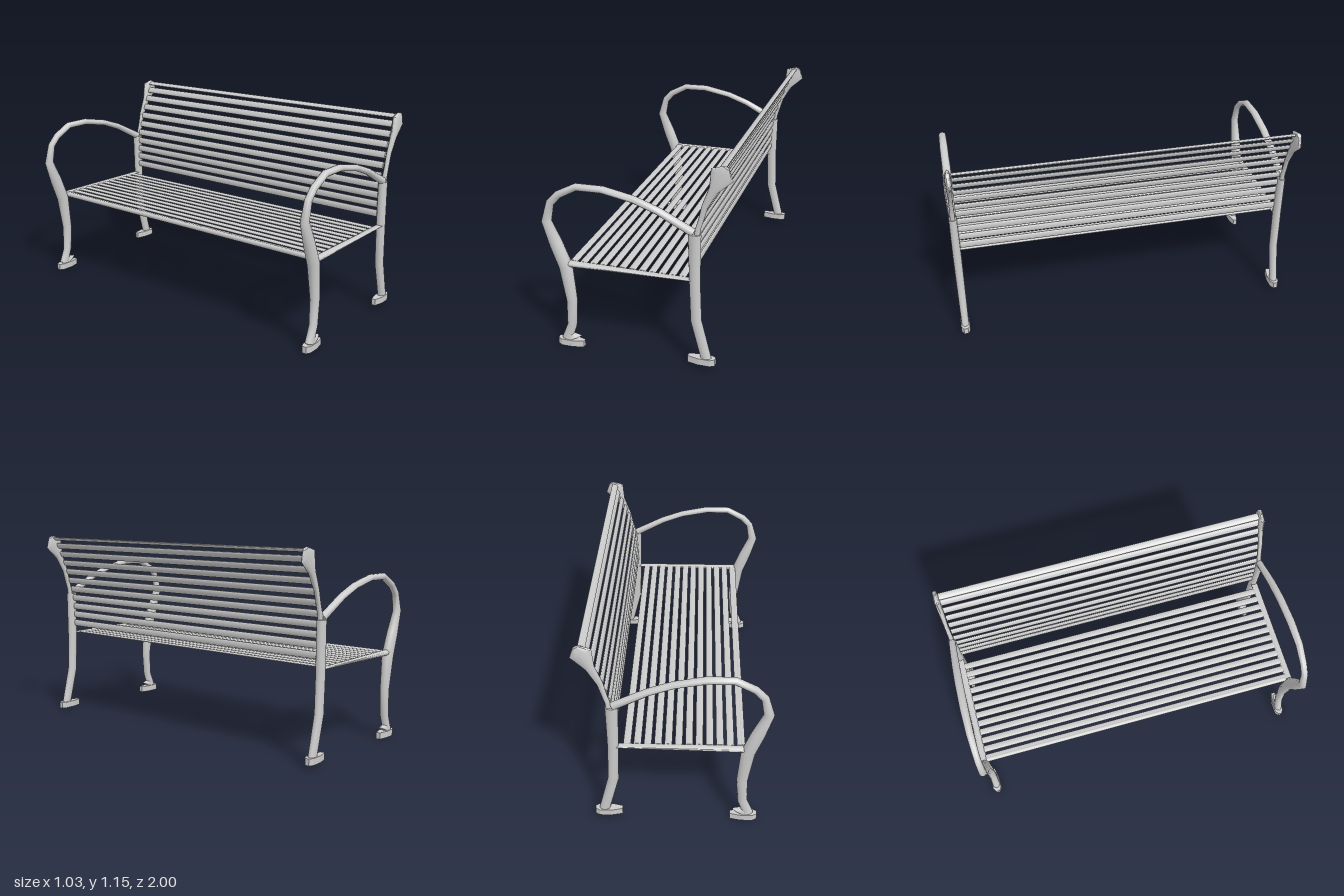
import * as THREE from 'three';
import { toCreasedNormals } from 'three/addons/utils/BufferGeometryUtils.js';

const material = new THREE.MeshStandardMaterial({ color: 0xcccccc });
const SIDE_Z = 0.967;

function addMesh(parent, name, geometry) {
  const mesh = new THREE.Mesh(geometry, material);
  mesh.name = name;
  parent.add(mesh);
  return mesh;
}

// Bar along a path in the xy plane; each station is [x, y, half width, half depth]
function bar(stations, sides = 12) {
  const positions = [];
  const indices = [];
  const last = stations.length - 1;
  stations.forEach(([x, y, r, rz], i) => {
    const a = stations[Math.max(i - 1, 0)];
    const b = stations[Math.min(i + 1, last)];
    const t = new THREE.Vector2(b[0] - a[0], b[1] - a[1]).normalize();
    for (let j = 0; j < sides; j++) {
      const angle = (j / sides) * Math.PI * 2;
      const c = Math.cos(angle) * r;
      positions.push(x - t.y * c, y + t.x * c, Math.sin(angle) * rz);
    }
  });
  for (let i = 0; i < last; i++) {
    for (let j = 0; j < sides; j++) {
      const a = i * sides + j;
      const b = i * sides + (j + 1) % sides;
      indices.push(a, b, b + sides, a, b + sides, a + sides);
    }
  }
  // End caps
  for (let j = 1; j < sides - 1; j++) {
    const e = last * sides;
    indices.push(0, j + 1, j, e, e + j, e + j + 1);
  }
  const geometry = new THREE.BufferGeometry();
  geometry.setAttribute('position', new THREE.Float32BufferAttribute(positions, 3));
  geometry.setIndex(indices);
  return toCreasedNormals(geometry, 0.9);
}

// Foot plate: rounded heel, tapered toe pointing along +x (or -x when dir = -1)
function footPlate(dir, height) {
  const plan = [[-0.075, -0.012], [-0.05, -0.026], [0.015, -0.026], [0.075, -0.012],
    [0.075, 0.012], [0.015, 0.026], [-0.05, 0.026], [-0.075, 0.012]];
  const shape = new THREE.Shape(plan.map(([x, z]) => new THREE.Vector2(x * dir, z)));
  const geometry = new THREE.ExtrudeGeometry(shape, { depth: height, bevelEnabled: false });
  return geometry.rotateX(-Math.PI / 2);
}

function sideFrame(name) {
  const frame = new THREE.Group();
  frame.name = name;

  // Front leg sweeps up and over into the armrest
  addMesh(frame, 'frontLegAndArmrest', bar([
    [-0.405, 0.04, 0.034, 0.024], [-0.4, 0.065, 0.028, 0.023], [-0.376, 0.13, 0.027, 0.023],
    [-0.369, 0.28, 0.031, 0.025], [-0.394, 0.485, 0.039, 0.033], [-0.442, 0.61, 0.038, 0.03],
    [-0.49, 0.738, 0.029, 0.023], [-0.463, 0.845, 0.022, 0.02], [-0.415, 0.896, 0.021, 0.02],
    [-0.312, 0.951, 0.02, 0.022], [-0.17, 0.953, 0.019, 0.024], [0, 0.92, 0.018, 0.024],
    [0.13, 0.873, 0.019, 0.023], [0.315, 0.778, 0.023, 0.02],
  ]));

  // Rear leg
  addMesh(frame, 'rearLeg', bar([
    [0.387, 0.05, 0.029, 0.022], [0.33, 0.275, 0.03, 0.024],
    [0.322, 0.5, 0.03, 0.025], [0.32, 0.772, 0.035, 0.023],
  ]));

  // Back post flaring into a knob
  addMesh(frame, 'backPost', bar([
    [0.332, 0.755, 0.016, 0.014], [0.337, 0.8, 0.014, 0.014], [0.352, 0.85, 0.014, 0.013],
    [0.371, 0.925, 0.017, 0.013], [0.416, 1.02, 0.026, 0.016],
    [0.458, 1.106, 0.063, 0.018], [0.48, 1.143, 0.017, 0.012],
  ]));

  // Seat rail, tapering to the rear
  addMesh(frame, 'seatRail', bar([
    [-0.39, 0.503, 0.018, 0.022], [0.305, 0.513, 0.005, 0.02],
  ]));

  // Feet with a sloping collar on the front one
  addMesh(frame, 'frontFoot', footPlate(1, 0.038)).position.set(-0.384, 0, 0);
  addMesh(frame, 'frontFootCollar', bar([
    [-0.385, 0.036, 0.068, 0.022], [-0.398, 0.063, 0.026, 0.02],
  ]));
  addMesh(frame, 'rearFoot', footPlate(-1, 0.038)).position.set(0.361, 0.022, 0);
  return frame;
}

// Flattened rounded slat running along z
function slatGeometry(halfWidth, halfThickness) {
  const geometry = new THREE.CylinderGeometry(1, 1, 1.9, 10);
  geometry.rotateX(Math.PI / 2);
  return geometry.scale(halfWidth, halfThickness, 1);
}

export function createModel() {
  const bench = new THREE.Group();
  bench.name = 'bench';

  for (const [name, sign] of [['leftFrame', 1], ['rightFrame', -1]]) {
    const frame = sideFrame(name);
    frame.position.z = sign * SIDE_Z;
    bench.add(frame);
  }

  // Seat slats, following the slight slope of the rails
  const seat = new THREE.Group();
  seat.name = 'seatSlats';
  bench.add(seat);
  const seatSlat = slatGeometry(0.021, 0.006);
  for (let i = 0; i < 12; i++) {
    addMesh(seat, 'seatSlat', seatSlat).position.set(-0.354 + i * 0.0548, 0.511, 0);
  }
  addMesh(seat, 'frontEdgeSlat', slatGeometry(0.016, 0.016)).position.set(-0.362, 0.503, 0);

  // Back slats, each turned along the curve of the back
  const back = new THREE.Group();
  back.name = 'backSlats';
  bench.add(back);
  const backSlat = slatGeometry(0.021, 0.008);
  const slats = [
    [0.314, 0.58, 90], [0.314, 0.636, 90], [0.316, 0.69, 88], [0.32, 0.745, 85],
    [0.329, 0.802, 78], [0.347, 0.86, 74], [0.364, 0.918, 72], [0.386, 0.975, 66],
    [0.41, 1.032, 62], [0.435, 1.087, 58], [0.453, 1.132, 20],
  ];
  for (const [x, y, degrees] of slats) {
    const mesh = addMesh(back, 'backSlat', backSlat);
    mesh.position.set(x, y, 0);
    mesh.rotation.z = THREE.MathUtils.degToRad(degrees);
  }
  return bench;
}
